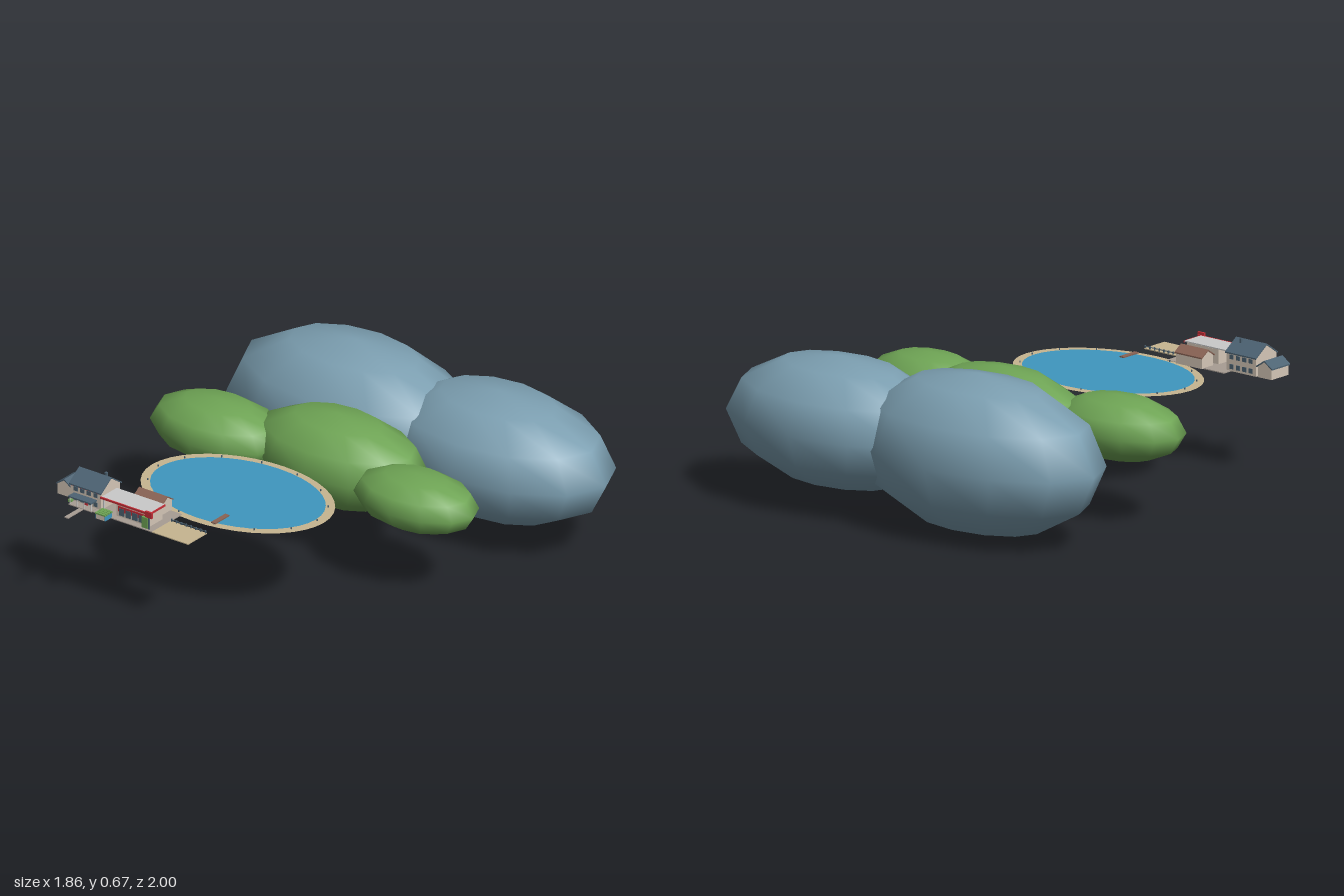
import * as THREE from 'three';

const G = 0.426; // ground level of the lakeside settlement

function mat(name, color, side = THREE.FrontSide) {
  const m = new THREE.MeshStandardMaterial({ color, side });
  m.name = name;
  return m;
}

export function createModel() {
  const root = new THREE.Group();
  root.name = 'lakesideScene';
  const M = {
    hill: mat('mountainBlue', 0x7c9fb1),
    green: mat('hillGreen', 0x6fa555),
    water: mat('waterBlue', 0x3f97bf, THREE.DoubleSide),
    sand: mat('sand', 0xc6b590, THREE.DoubleSide),
    slate: mat('slateRoof', 0x4d6373),
    wall: mat('creamWall', 0xd6c8b8),
    brown: mat('brownWood', 0x8a6455),
    red: mat('signRed', 0xc62f38),
    grey: mat('lightGrey', 0xcacaca),
    paving: mat('paving', 0xa89d94),
  };

  function add(parent, name, geo, material, x = 0, y = 0, z = 0) {
    const m = new THREE.Mesh(geo, material);
    m.name = name;
    m.position.set(x, y, z);
    parent.add(m);
    return m;
  }
  // box given by its extents, heights measured from the ground
  function box(parent, name, material, x0, x1, y0, y1, z0, z1) {
    return add(parent, name, new THREE.BoxGeometry(x1 - x0, y1 - y0, z1 - z0), material,
      (x0 + x1) / 2, G + (y0 + y1) / 2, (z0 + z1) / 2);
  }
  function group(name) {
    const g = new THREE.Group();
    g.name = name;
    root.add(g);
    return g;
  }
  // gabled building: pentagonal walls under a chevron roof
  function gable(parent, name, roofMat, span, len, eave, peak, x, z, alongX) {
    const h = span / 2, o = h + 0.006, t = 0.006;
    const drop = (peak - eave) / h * 0.006;
    const extrude = (pts, depth) => {
      const g = new THREE.ExtrudeGeometry(new THREE.Shape(pts.map(p => new THREE.Vector2(...p))),
        { depth, bevelEnabled: false });
      g.translate(0, 0, -depth / 2);
      if (alongX) g.rotateY(Math.PI / 2);
      return g;
    };
    add(parent, name + 'Walls', extrude(
      [[-h, 0], [h, 0], [h, eave], [0, peak], [-h, eave]], len - 0.008), M.wall, x, G, z);
    add(parent, name + 'Roof', extrude([
      [-o, eave - drop], [0, peak], [o, eave - drop],
      [o, eave - drop + t], [0, peak + t], [-o, eave - drop + t]], len), roofMat, x, G, z);
  }

  // mountains and hills: centre, then radii
  const mounds = [
    ['leftMountain', M.hill, -0.32, 0.336, -0.62, 0.612, 0.336, 0.35],
    ['rightMountain', M.hill, 0.38, 0.355, -0.67, 0.55, 0.275, 0.33],
    ['leftHill', M.green, -0.613, 0.387, -0.09, 0.32, 0.135, 0.2],
    ['middleHill', M.green, -0.08, 0.373, -0.2, 0.42, 0.198, 0.24],
    ['rightHill', M.green, 0.425, 0.39, -0.058, 0.292, 0.12, 0.183],
  ];
  for (const [name, m, x, y, z, rx, ry, rz] of mounds) {
    add(root, name, new THREE.SphereGeometry(1, 12, 6), m, x, y, z).scale.set(rx, ry, rz);
  }

  // lake with sandy shore
  const lake = group('lake');
  const disc = (name, m, rx, rz, y) => {
    const g = new THREE.CircleGeometry(1, 40);
    g.rotateX(-Math.PI / 2);
    add(lake, name, g, m, -0.14, y, 0.4).scale.set(rx, 1, rz);
  };
  disc('shore', M.sand, 0.44, 0.31, G);
  disc('water', M.water, 0.398, 0.278, G + 0.002);
  for (let i = 0; i < 14; i++) {
    const a = i / 14 * Math.PI * 2;
    add(lake, 'shorePost', new THREE.CylinderGeometry(0.003, 0.003, 0.008, 6), M.slate,
      -0.14 + 0.408 * Math.cos(a), G + 0.004, 0.4 + 0.286 * Math.sin(a));
  }
  box(lake, 'dock', M.brown, -0.06, -0.038, 0.004, 0.009, 0.59, 0.685);

  // ground slabs
  const ground = group('ground');
  box(ground, 'pavedYard', M.paving, -0.51, -0.205, -0.002, 0.002, 0.69, 0.892);
  box(ground, 'sandTerrace', M.sand, -0.205, -0.02, -0.002, 0.002, 0.765, 0.892);
  box(ground, 'gardenPath', M.paving, -0.572, -0.552, -0.002, 0.002, 0.89, 1.0);

  // main house with side wing and porch
  const house = group('house');
  gable(house, 'house', M.slate, 0.128, 0.165, 0.078, 0.122, -0.567, 0.798, true);
  gable(house, 'wing', M.slate, 0.072, 0.115, 0.046, 0.07, -0.69, 0.79, false);
  box(house, 'chimney', M.slate, -0.53, -0.52, 0.1, 0.132, 0.776, 0.786);
  for (let i = 0; i < 4; i++) {
    const x = -0.628 + i * 0.034;
    for (const [z0, z1] of [[0.862, 0.865], [0.731, 0.734]]) {
      box(house, 'upperWindow', M.slate, x, x + 0.02, 0.052, 0.07, z0, z1);
      box(house, 'lowerWindow', M.slate, x, x + 0.02, 0.01, 0.03, z0, z1);
    }
  }
  box(house, 'redTrim', M.red, -0.636, -0.498, 0.072, 0.076, 0.862, 0.866);
  box(house, 'porchRoof', M.slate, -0.627, -0.51, 0.036, 0.042, 0.86, 0.902);
  box(house, 'porchFloor', M.paving, -0.627, -0.51, 0, 0.004, 0.86, 0.9);
  for (let i = 0; i < 4; i++) {
    const x = -0.624 + i * 0.036;
    box(house, 'porchPost', M.grey, x, x + 0.004, 0, 0.038, 0.894, 0.898);
  }
  box(house, 'frontDoor', M.red, -0.57, -0.554, 0.004, 0.034, 0.863, 0.867);
  box(house, 'hedge', M.green, -0.645, -0.627, 0, 0.012, 0.866, 0.88);

  // shop with flat roof and red fascia
  const shop = group('shop');
  box(shop, 'shopWalls', M.wall, -0.41, -0.24, 0, 0.064, 0.775, 0.862);
  box(shop, 'shopRoof', M.grey, -0.478, -0.232, 0.066, 0.071, 0.77, 0.872);
  box(shop, 'shopFascia', M.red, -0.482, -0.215, 0.063, 0.071, 0.872, 0.878);
  box(shop, 'shopSideFascia', M.red, -0.232, -0.228, 0.063, 0.071, 0.77, 0.872);
  box(shop, 'shopFront', M.red, -0.4, -0.26, 0.026, 0.05, 0.862, 0.865);
  for (let i = 0; i < 4; i++) {
    const x = -0.394 + i * 0.034;
    box(shop, 'shopWindow', M.slate, x, x + 0.026, 0.01, 0.042, 0.862, 0.867);
  }
  for (const z of [0.775, 0.862]) {
    box(shop, 'canopyPost', M.grey, -0.474, -0.468, 0, 0.066, z, z + 0.006);
  }

  // storehouse behind the shop
  const store = group('storehouse');
  gable(store, 'store', M.brown, 0.07, 0.146, 0.047, 0.07, -0.333, 0.715, true);

  // roadside sign
  const sign = group('roadSign');
  box(sign, 'signPost', M.slate, -0.23, -0.224, 0, 0.06, 0.88, 0.885);
  box(sign, 'signBoard', M.red, -0.245, -0.21, 0.055, 0.082, 0.878, 0.887);
  box(sign, 'signShrub', M.green, -0.265, -0.235, 0, 0.05, 0.872, 0.884);

  // produce stall with slatted top
  const stall = group('stall');
  box(stall, 'stallBody', M.wall, -0.462, -0.418, 0, 0.022, 0.885, 0.93);
  for (const x of [-0.465, -0.418]) {
    box(stall, 'stallSide', M.water, x, x + 0.003, 0, 0.022, 0.885, 0.932);
  }
  for (let i = 0; i < 4; i++) {
    const z = 0.882 + i * 0.0135;
    box(stall, 'stallSlat', M.green, -0.466, -0.414, 0.022, 0.028, z, z + 0.0115);
  }

  // low terrace fence
  const fence = group('fence');
  for (let i = 0; i < 8; i++) {
    const x = -0.2 + i * 0.0248;
    box(fence, 'fencePost', M.slate, x, x + 0.005, 0, 0.014, 0.766, 0.771);
  }
  box(fence, 'fenceRail', M.slate, -0.2, -0.022, 0.008, 0.011, 0.767, 0.77);

  return root;
}
